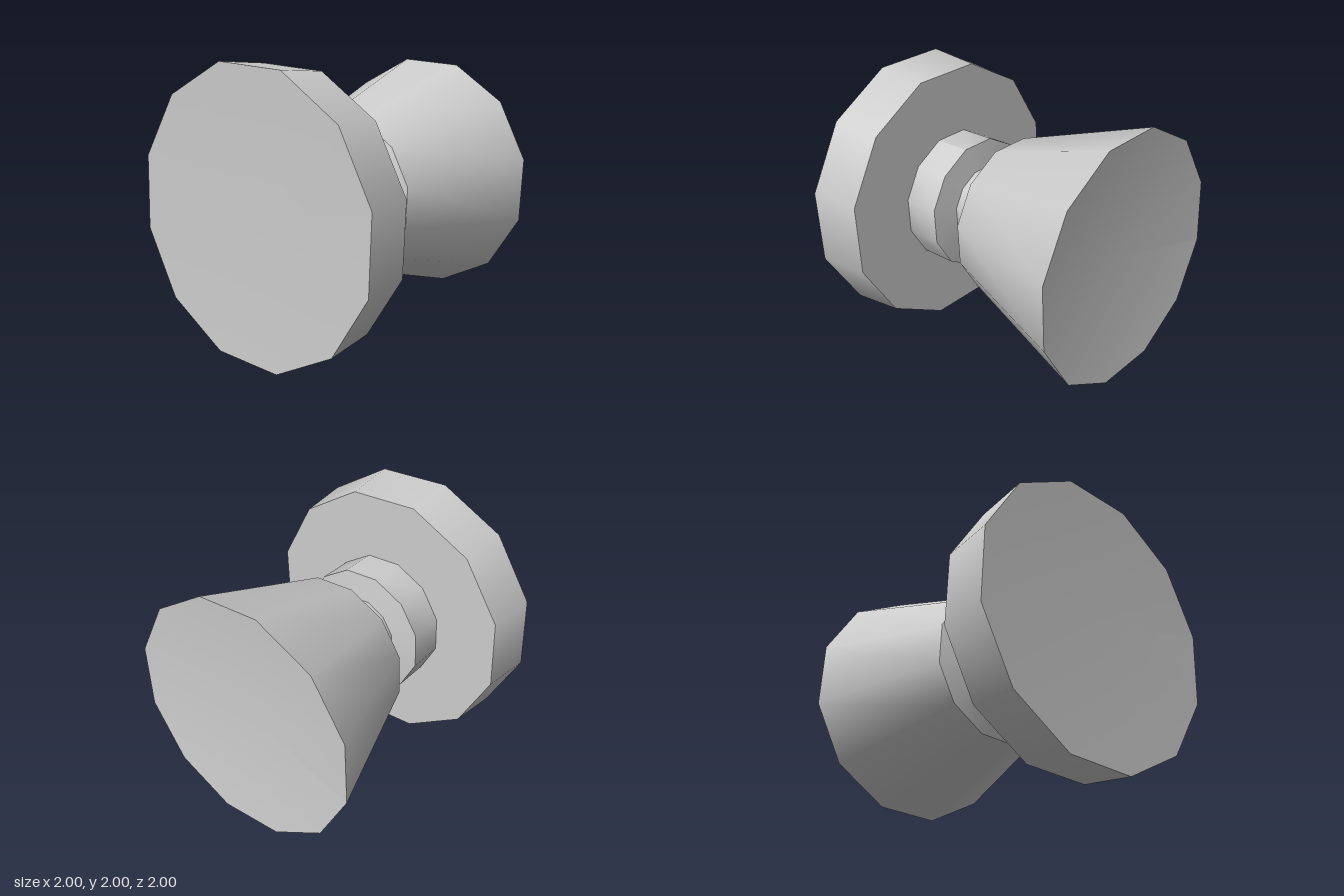
import * as THREE from 'three';

const SIDES = 12;
const STEP = (Math.PI * 2) / SIDES;
const TURN = THREE.MathUtils.degToRad(12.4);

export function createModel() {
  const model = new THREE.Group();
  const knob = new THREE.Group();
  knob.name = 'knob';
  const material = new THREE.MeshStandardMaterial({ color: 0xcccccc });

  const add = (name, geometry) => {
    const mesh = new THREE.Mesh(geometry, material);
    mesh.name = name;
    knob.add(mesh);
  };

  // Open ring, or an arc of it, of the turned body from front edge to back edge
  const band = (name, [zFront, rFront], [zBack, rBack], first = 0, count = SIDES) => {
    const g = new THREE.CylinderGeometry(rFront, rBack, zFront - zBack, count, 1, true,
      TURN + first * STEP, count * STEP);
    g.rotateX(Math.PI / 2).translate(0, 0, (zFront + zBack) / 2);
    // Arcs end in hard edges
    if (count < SIDES) g.computeVertexNormals();
    add(name, g);
  };

  // End face, sunk slightly towards its middle
  const dish = (radius, turn, depth) => {
    const g = new THREE.CircleGeometry(radius, SIDES, turn);
    g.attributes.position.setZ(0, -depth);
    g.computeVertexNormals();
    return g;
  };

  // Profile as [z, radius], front to back
  const profile = [
    [0.995, 1.023], [0.608, 0.984], [0.607, 0.491], [0.335, 0.491],
    [0.31, 0.292], [0.11, 0.302], [0.028, 0.568], [-0.995, 0.898],
  ];
  const names = ['flangeRim', 'flangeBack', 'collar', 'collarBevel', 'neck', 'gripShoulder', 'grip'];
  names.forEach((name, i) => {
    // The collar is creased along three of its edges
    const arcs = name === 'collar' ? [[0, 1], [1, 4], [5, 7]] : [[0, SIDES]];
    arcs.forEach(([first, count]) => band(name, profile[i], profile[i + 1], first, count));
  });

  // End faces
  const [zF, rF] = profile[0];
  const [zB, rB] = profile[profile.length - 1];
  add('flangeFace', dish(rF, TURN, 0.04).translate(0, 0, zF));
  add('gripFace', dish(rB, -TURN, 0.08).rotateY(Math.PI).translate(0, 0, zB));

  // The axis leans very slightly
  knob.rotation.set(0.005, -0.003, 0);
  knob.position.set(0.002, 1.004, 0);
  model.add(knob);
  return model;
}
